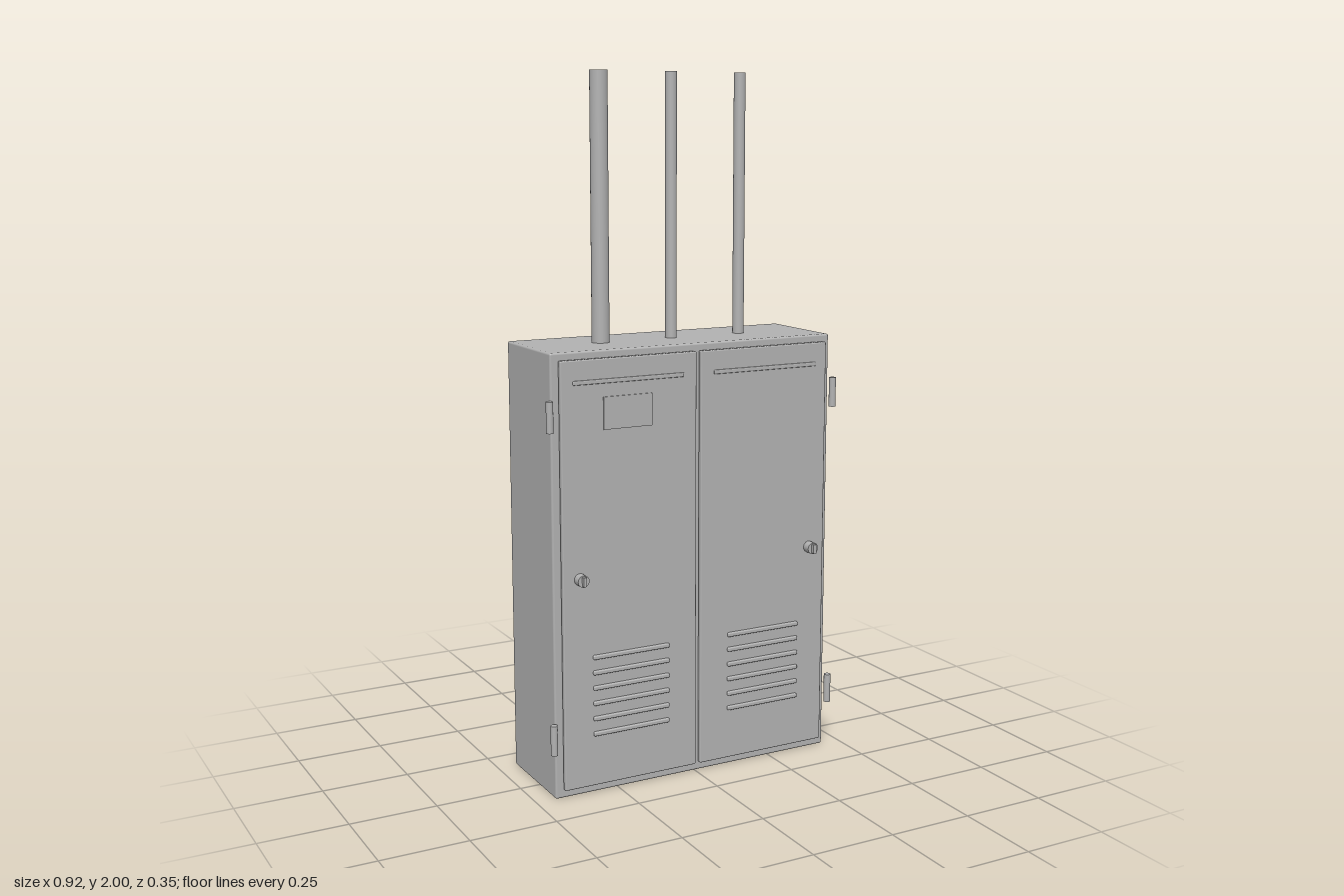
import * as THREE from 'three';
import { RoundedBoxGeometry } from 'three/addons/geometries/RoundedBoxGeometry.js';

export function createModel() {
  const model = new THREE.Group();
  model.name = 'electricalCabinet';
  const grey = new THREE.MeshStandardMaterial({ color: 0xb2b2b2 });
  grey.name = 'grey metal';

  const add = (name, geometry, x, y, z, parent = model) => {
    const mesh = new THREE.Mesh(geometry, grey);
    mesh.name = name;
    mesh.position.set(x, y, z);
    parent.add(mesh);
    return mesh;
  };
  const roundedBox = (w, h, d, r) => new RoundedBoxGeometry(w, h, d, 2, r);

  // Cabinet body
  add('cabinetBody', roundedBox(0.886, 1.257, 0.291, 0.006), 0, 0.6285, -0.0275);

  // Conduits rising from the roof: [x, radius]
  for (const [x, r] of [[-0.223, 0.025], [0, 0.0165], [0.222, 0.0165]]) {
    add('conduit', new THREE.CylinderGeometry(r, r, 0.76, 24), x, 1.62, -0.027);
  }

  for (const side of [-1, 1]) {
    const door = new THREE.Group();
    door.name = side < 0 ? 'rightDoor' : 'leftDoor';
    model.add(door);

    // Door panel on a thin recessed seal
    add('doorPanel', roundedBox(0.415, 1.21, 0.016, 0.004), side * 0.2145, 0.632, 0.13, door);
    add('doorSeal', new THREE.BoxGeometry(0.4, 1.195, 0.01), side * 0.2145, 0.632, 0.119, door);

    // Rain strip near the top
    add('rainStrip', roundedBox(0.338, 0.012, 0.008, 0.003), side * 0.217, 1.175, 0.138, door);

    // Louvres near the bottom
    for (let i = 0; i < 6; i++) {
      add('louvre', roundedBox(0.238, 0.013, 0.012, 0.004), side * 0.215, 0.18 + i * 0.0446, 0.139, door);
    }

    // Round lock with a small turning tab
    const lock = add('lock', new THREE.CylinderGeometry(0.017, 0.017, 0.027, 24), side * 0.371, 0.632, 0.1495, door);
    lock.rotation.x = Math.PI / 2;
    add('lockTab', new THREE.BoxGeometry(0.01, 0.026, 0.012), side * 0.371, 0.632, 0.167, door);

    // Hinge barrels and the leaves joining them to the body
    for (const y of [0.18, 1.087]) {
      add('hinge', new THREE.CylinderGeometry(0.01, 0.01, 0.086, 20), side * 0.451, y, 0.13, door);
    }
  }

  // Name plate on one door
  add('namePlate', new THREE.BoxGeometry(0.148, 0.09, 0.006), -0.222, 1.087, 0.1385);

  return model;
}
